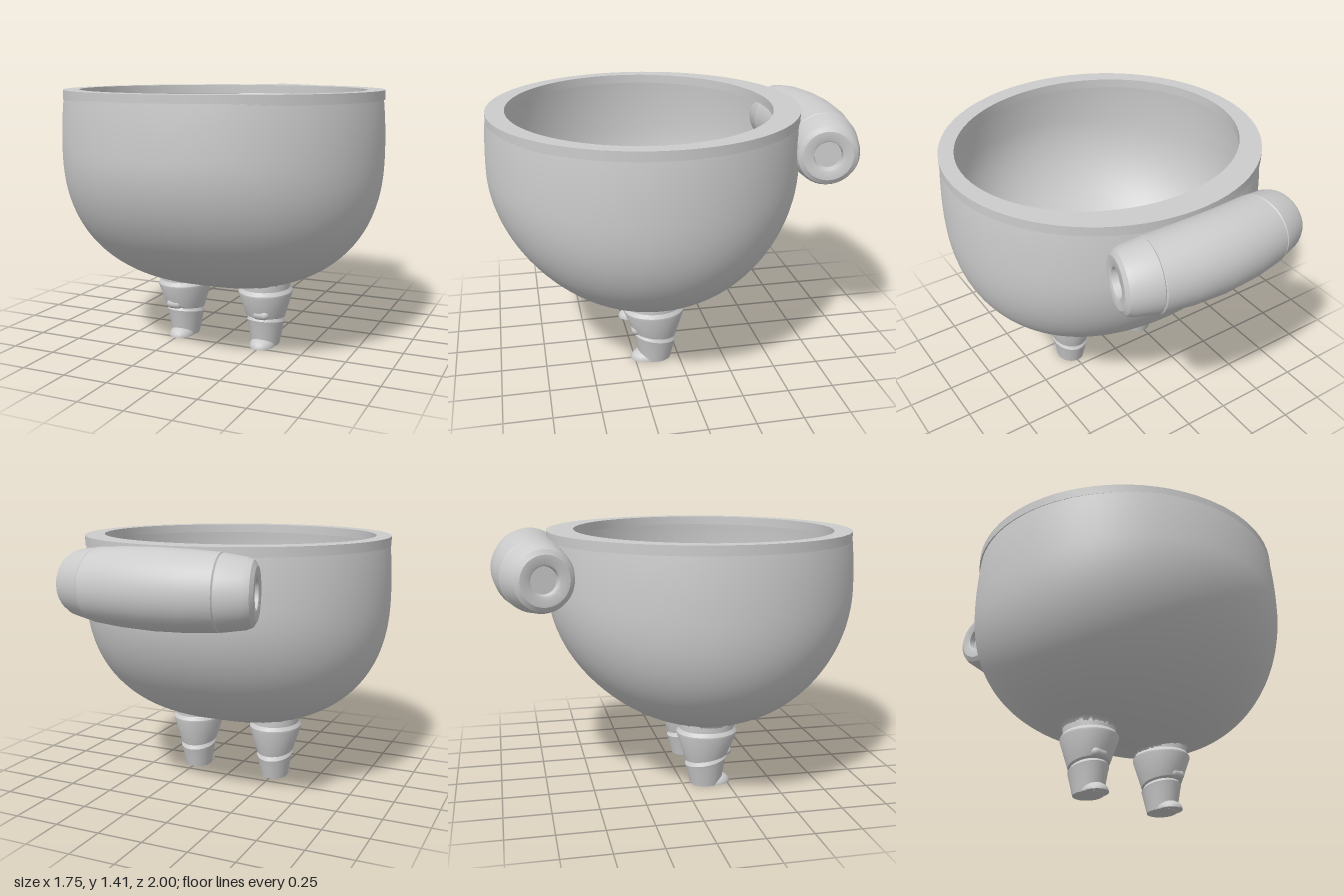
import * as THREE from 'three';
import { mergeVertices, toCreasedNormals } from 'three/addons/utils/BufferGeometryUtils.js';
import { ParametricGeometry } from 'three/addons/geometries/ParametricGeometry.js';

const RX = 0.875, RZ = 0.85, CZ = 0.148; // bowl half-widths and centre
const LEG_X = 0.25, LEG_Z = 0.137;

const material = new THREE.MeshStandardMaterial({ color: 0xcccccc, side: THREE.DoubleSide });

function part(name, geometry) {
  const mesh = new THREE.Mesh(geometry, material);
  mesh.name = name;
  return mesh;
}

// Move every vertex of a geometry by a rule
function reshape(geometry, rule) {
  const pos = geometry.attributes.position, p = new THREE.Vector3();
  for (let i = 0; i < pos.count; i++) {
    rule(p.fromBufferAttribute(pos, i));
    pos.setXYZ(i, p.x, p.y, p.z);
  }
  return geometry;
}

function smooth(geometry) {
  geometry.deleteAttribute('uv');
  geometry.deleteAttribute('normal');
  const merged = mergeVertices(geometry, 1e-5);
  merged.computeVertexNormals();
  return merged;
}

function creased(geometry, angle = 0.6) {
  return toCreasedNormals(smooth(geometry), angle);
}

function lathe(points, segments = 32) {
  return new THREE.LatheGeometry(points.map(([r, y]) => new THREE.Vector2(r, y)), segments);
}

// Bowl surface height; the belly is squarer across x than along z
function bowlHeight(x, z) {
  const a = x / RX, b = (z - CZ) / RZ;
  const rho = Math.min(1, Math.hypot(a, b));
  const power = 1.95 + 0.55 * (rho > 1e-6 ? (a * a) / (a * a + b * b) : 0);
  return 1.1 - 0.767 * Math.pow(1 - Math.pow(rho, power), 1 / power);
}

// Depth of the hollow leading down into each leg
function socketHeight(x, z, y) {
  const d = Math.hypot((Math.abs(x) - LEG_X) / 0.13, (z - LEG_Z) / 0.15);
  if (d >= 1) return y;
  if (d > 0.65) return THREE.MathUtils.mapLinear(d, 0.65, 1, 0.18, y);
  return THREE.MathUtils.mapLinear(Math.max(d, 0.45), 0.45, 0.65, 0.04, 0.18);
}

function makeBowl() {
  const surface = (u, v, target) => {
    const angle = u * Math.PI * 2;
    const k = Math.max(0, (v - 0.85) / 0.15);
    const rho = v < 0.85 ? Math.sin((v / 0.85) * Math.PI / 2) : 1 - 0.018 * k * k;
    const x = RX * rho * Math.cos(angle), z = CZ + RZ * rho * Math.sin(angle);
    const y = v < 0.85 ? bowlHeight(x, z) : 1.1 + 0.27 * k;
    target.set(x, socketHeight(x, z, y), z);
  };
  return part('bowl', smooth(new ParametricGeometry(surface, 96, 72)));
}

function makeRim() {
  const shape = new THREE.Shape();
  shape.absellipse(0, -0.142, 0.866, 0.84, 0, Math.PI * 2, false);
  const hole = new THREE.Path();
  hole.absellipse(0, -0.165, 0.78, 0.715, 0, Math.PI * 2, true);
  shape.holes.push(hole);
  const geometry = new THREE.ExtrudeGeometry(shape, { depth: 0.05, bevelEnabled: false, curveSegments: 40 });
  geometry.rotateX(-Math.PI / 2).translate(0, 1.36, 0);
  return part('rim', creased(geometry));
}

// Thick barrel, bent around the back of the bowl, with recessed ends
function makeHandle() {
  const half = [[0, 0.455], [0.07, 0.455], [0.075, 0.49], [0.085, 0.495], [0.13, 0.495],
    [0.155, 0.48], [0.168, 0.45], [0.185, 0.335], [0.18, 0.33], [0.187, 0.325], [0.196, 0.17]];
  const profile = [...half.map(([r, y]) => [r, -y]), [0.2, 0], ...half.slice().reverse()];
  const bend = 2;
  const geometry = lathe(profile, 40).rotateZ(-Math.PI / 2);
  reshape(geometry, (p) => {
    const angle = p.x / bend, r = bend - p.z;
    p.set(Math.sin(angle) * r, p.y + 1.213, bend - 0.8 - Math.cos(angle) * r);
  });
  return part('handle', creased(geometry, 0.5));
}

function makeLeg(side) {
  const leg = new THREE.Group();
  leg.name = side > 0 ? 'leftLeg' : 'rightLeg';
  const x0 = side * LEG_X;

  // Thigh: flared collar tapering down, its top meeting the bowl
  const thigh = lathe([[0.135, 0.36], [0.134, 0.33], [0.148, 0.31], [0.148, 0.3], [0.105, 0.16], [0.08, 0.15]]);
  reshape(thigh, (p) => {
    const top = p.y > 0.35;
    if (p.y < 0.2) p.y += 0.18 * p.z;
    p.set(p.x + x0, p.y, p.z * 1.15 + LEG_Z);
    if (top) p.y = bowlHeight(p.x, p.z);
  });
  leg.add(part('thigh', creased(thigh)));

  // Shin: tilted shoulder above a narrow foot
  const shin = lathe([[0.075, 0.19], [0.085, 0.165], [0.103, 0.135], [0.098, 0.115], [0.077, 0], [0, 0]]);
  reshape(shin, (p) => {
    if (p.y > 0.1) p.y += 0.2 * p.z;
    p.set(p.x + x0, p.y, p.z * 1.14 + 0.132);
  });
  leg.add(part('shin', creased(shin)));

  // Toe: half dome flat on the ground
  const toe = new THREE.SphereGeometry(1, 24, 10, 0, Math.PI * 2, 0, Math.PI / 2);
  toe.scale(0.07, 0.055, 0.09).translate(x0, 0, 0.182);
  leg.add(part('toe', toe));
  const sole = new THREE.CircleGeometry(1, 24).rotateX(Math.PI / 2);
  sole.scale(0.07, 1, 0.09).translate(x0, 0.001, 0.182);
  leg.add(part('sole', sole));

  // Kneecap: small rounded pad
  const knee = new THREE.CapsuleGeometry(0.028, 0.04, 6, 16).rotateZ(Math.PI / 2);
  knee.translate(x0 + side * 0.015, 0.195, 0.243);
  leg.add(part('kneecap', knee));
  return leg;
}

export function createModel() {
  const model = new THREE.Group();
  model.name = 'leggedBowl';
  model.add(makeBowl(), makeRim(), makeHandle(), makeLeg(1), makeLeg(-1));
  return model;
}
